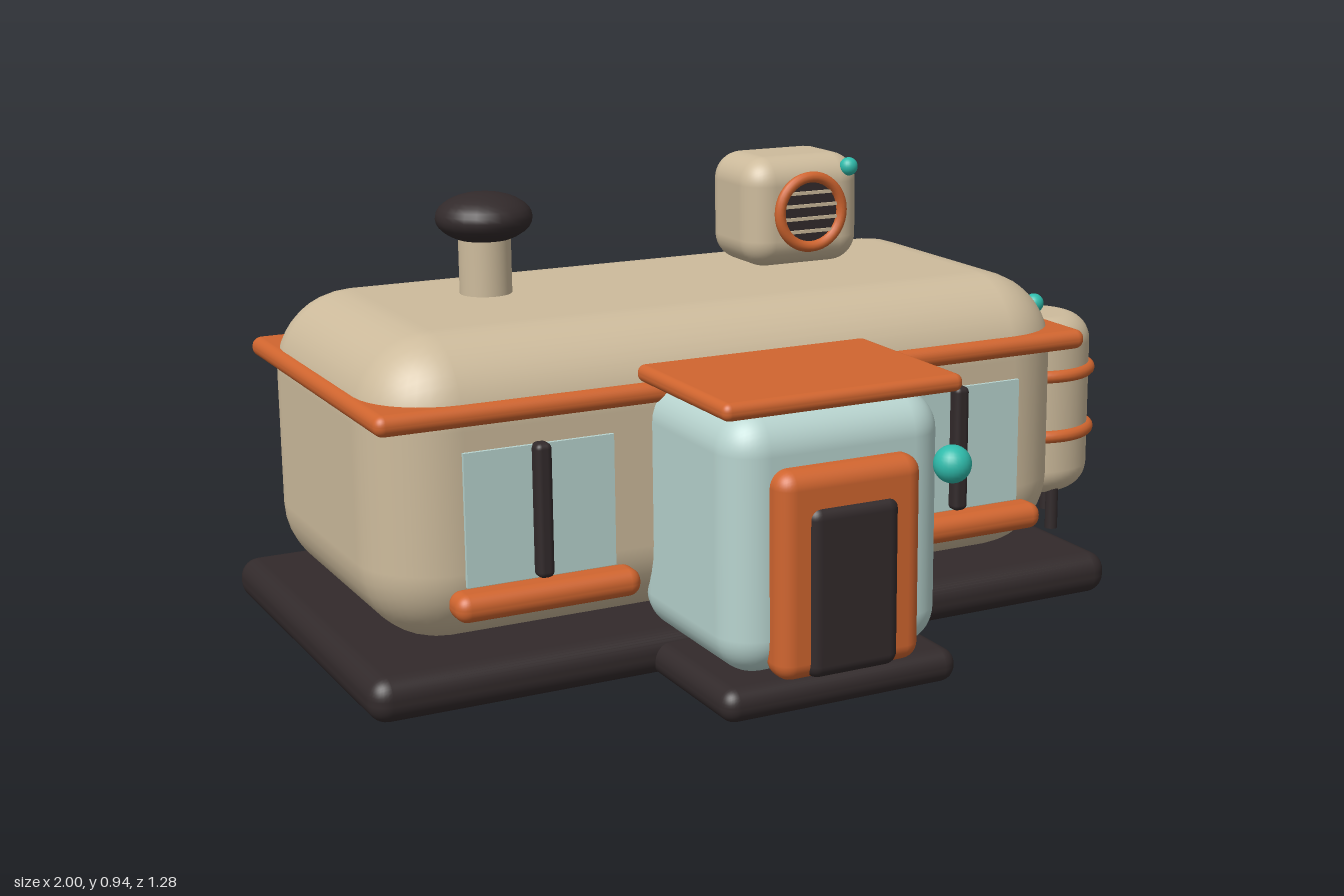
import * as THREE from 'three';
import { RoundedBoxGeometry } from 'three/addons/geometries/RoundedBoxGeometry.js';

const material = (name, color) => {
  const m = new THREE.MeshStandardMaterial({ color });
  m.name = name;
  return m;
};

export function createModel() {
  const cream = material('cream', 0xcdbb9c);
  const orange = material('orange', 0xd0652f);
  const dark = material('charcoal', 0x322a2b);
  const pale = material('pale blue', 0xb8d4cf);
  const teal = material('teal', 0x2fbbab);

  const model = new THREE.Group();
  model.name = 'house';

  const add = (name, geometry, mat, x = 0, y = 0, z = 0, parent = model) => {
    const mesh = new THREE.Mesh(geometry, mat);
    mesh.name = name;
    mesh.position.set(x, y, z);
    parent.add(mesh);
    return mesh;
  };
  // Rounded box given by its lower and upper limits on each axis
  const block = (name, mat, [x0, x1], [y0, y1], [z0, z1], r, seg = 4, parent = model) =>
    add(name, new RoundedBoxGeometry(x1 - x0, y1 - y0, z1 - z0, seg, r), mat,
      (x0 + x1) / 2, (y0 + y1) / 2, (z0 + z1) / 2, parent);
  const ball = (name, mat, r, x, y, z, parent = model) =>
    add(name, new THREE.SphereGeometry(r, 24, 16), mat, x, y, z, parent);
  const group = (name, x = 0, y = 0, z = 0) => {
    const g = new THREE.Group();
    g.name = name;
    g.position.set(x, y, z);
    model.add(g);
    return g;
  };

  // Foundations, main body and the eaves trim
  block('foundation', dark, [-1, 0.68], [0, 0.09], [-0.64, 0.255], 0.04);
  block('porchFoundation', dark, [-0.42, 0.095], [0, 0.068], [0.1, 0.56], 0.032);
  block('body', cream, [-0.947, 0.623], [0.09, 0.7], [-0.58, 0.195], 0.165, 5);
  block('eavesTrim', orange, [-0.957, 0.634], [0.543, 0.585], [-0.593, 0.208], 0.02);

  // Windows with mullion and sill
  for (const x of [-0.632, 0.31]) {
    const win = group('window', x);
    add('glass', new THREE.BoxGeometry(0.31, 0.265, 0.009), pale, 0, 0.3625, 0.198, win);
    block('mullion', dark, [-0.017, 0.017], [0.232, 0.5], [0.19, 0.228], 0.012, 3, win);
    block('sill', orange, [-0.192, 0.192], [0.172, 0.228], [0.178, 0.253], 0.026, 4, win);
  }

  // Entrance porch, canopy and door
  block('porch', pale, [-0.392, 0.08], [0.068, 0.585], [0.1, 0.537], 0.08, 5);
  block('canopy', orange, [-0.42, 0.095], [0.588, 0.623], [0.18, 0.56], 0.016);
  block('doorFrame', orange, [-0.316, -0.005], [0.072, 0.482], [0.5, 0.583], 0.035);
  block('door', dark, [-0.258, -0.062], [0.075, 0.412], [0.54, 0.594], 0.025);
  ball('porchLamp', teal, 0.037, 0.04, 0.464, 0.605);

  // Chimney pipe with a flattened cap
  const chimney = group('chimney', -0.553, 0, -0.255);
  add('pipe', new THREE.CylinderGeometry(0.054, 0.054, 0.16, 32), cream, 0, 0.76, 0, chimney);
  ball('cap', dark, 0.1, 0, 0.857, 0, chimney).scale.y = 0.52;

  // Rooftop ventilation unit with a slatted round grille
  const unit = group('ventUnit', 0.175, 0.82, -0.19);
  block('housing', cream, [-0.14, 0.14], [-0.122, 0.118], [-0.222, -0.003], 0.06, 5, unit);
  add('grilleRing', new THREE.TorusGeometry(0.076, 0.012, 12, 40), orange, 0, 0, 0.006, unit);
  add('grilleBack', new THREE.CylinderGeometry(0.072, 0.072, 0.008, 32), dark, 0, 0, 0, unit)
    .rotation.x = Math.PI / 2;
  for (const y of [-0.042, -0.014, 0.014, 0.042]) {
    const w = 2 * Math.sqrt(0.068 ** 2 - y ** 2);
    add('grilleSlat', new THREE.BoxGeometry(w, 0.007, 0.008), cream, 0, y, 0.005, unit);
  }
  ball('unitLight', teal, 0.02, 0.103, 0.09, -0.01, unit);

  // Side tank: rounded cylinder, two hoops, light and three legs
  const tank = group('tank', 0.85, 0, -0.303);
  const outline = new THREE.Path();
  outline.moveTo(0, 0.085);
  outline.lineTo(0.07, 0.085);
  outline.absarc(0.07, 0.148, 0.063, -Math.PI / 2, 0);
  outline.absarc(0.07, 0.447, 0.063, 0, Math.PI / 2);
  outline.lineTo(0, 0.51);
  add('vessel', new THREE.LatheGeometry(outline.getPoints(8), 40), cream, 0, 0, 0, tank);
  for (const y of [0.235, 0.38]) {
    add('hoop', new THREE.TorusGeometry(0.133, 0.015, 12, 48), orange, 0, y, 0, tank)
      .rotation.x = Math.PI / 2;
  }
  ball('tankLight', teal, 0.023, 0, 0.53, 0, tank);
  for (let i = 0; i < 3; i++) {
    const a = (i * Math.PI * 2) / 3;
    add('leg', new THREE.CylinderGeometry(0.015, 0.015, 0.13, 16), dark,
      Math.sin(a) * 0.095, 0.065, Math.cos(a) * 0.095, tank);
  }

  // Pipe joining the tank to the house
  add('connectingPipe', new THREE.CylinderGeometry(0.016, 0.016, 0.13, 16), dark, 0.672, 0.34, -0.305)
    .rotation.z = Math.PI / 2;

  return model;
}
